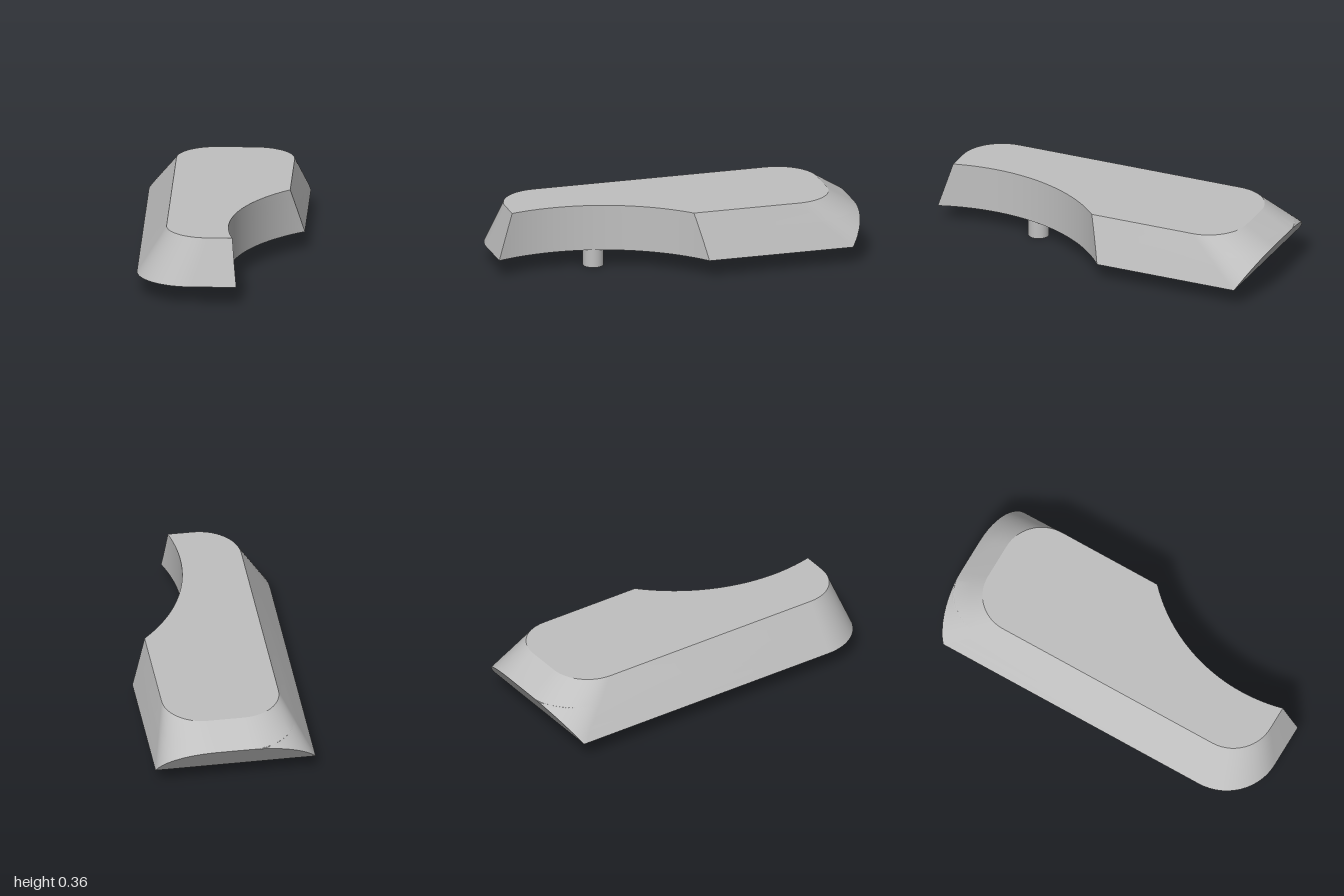
import * as THREE from 'three';
import { toCreasedNormals } from 'three/addons/utils/BufferGeometryUtils.js';

const TOP = 0.357, BOTTOM = 0.103;
const NOTCH = { x: 1.02, z: 0.68, r: 0.965 }; // circular bite in the left flank
const RIDGE = 0.4; // fraction of the way down where the undercut back begins
const lerp = THREE.MathUtils.lerp;

// Outline at fraction t of the way down (0 top, 1 bottom), starting at the front notch tip
function outline(t) {
  const left = lerp(-0.28, -0.44, t), right = lerp(0.36, 0.437, t);
  const front = lerp(0.92, 1.0, t), back = lerp(-0.84, -1.24, t);
  const rf = lerp(0.23, 0.30, t), rb = lerp(0.22, 0.35, t);
  const zc = back + rb;
  // The undercut plane trims the rear corners below the ridge
  let sweep = Math.PI / 2;
  if (t > RIDGE) {
    const cut = lerp(-1.0, -0.90, (t - RIDGE) / (1 - RIDGE));
    sweep = Math.asin(THREE.MathUtils.clamp((zc - cut) / rb, 0.001, 1));
  }
  const pts = [];
  const add = (x, z) => pts.push(new THREE.Vector2(x, z));
  const n = 14, m = 32;

  const endZ = front - NOTCH.z;
  add(NOTCH.x - Math.sqrt(NOTCH.r ** 2 - endZ ** 2), front);
  for (let i = 0; i <= n; i++) { // front corner
    const a = (i / n) * Math.PI / 2;
    add(left + rf - rf * Math.sin(a), front - rf + rf * Math.cos(a));
  }
  for (let i = 0; i <= n; i++) { // rear corner, right side
    const a = (i / n) * sweep;
    add(left + rb - rb * Math.cos(a), zc - rb * Math.sin(a));
  }
  for (let i = n; i >= 0; i--) { // rear corner, left side
    const a = (i / n) * sweep;
    add(right - rb + rb * Math.cos(a), zc - rb * Math.sin(a));
  }
  const a0 = -Math.acos((NOTCH.x - right) / NOTCH.r);
  const a1 = Math.asin(endZ / NOTCH.r);
  for (let i = 0; i < m; i++) { // concave notch
    const a = lerp(a0, a1, i / m);
    add(NOTCH.x - NOTCH.r * Math.cos(a), NOTCH.z + NOTCH.r * Math.sin(a));
  }
  return pts;
}

function bodyGeometry() {
  const levels = [0, RIDGE / 2, RIDGE];
  for (let i = 1; i <= 10; i++) levels.push(RIDGE + (1 - RIDGE) * (i / 10) ** 2);
  const rings = levels.map(outline);
  const count = rings[0].length;
  const pos = [], index = [];
  rings.forEach((ring, k) => ring.forEach(p => pos.push(p.x, lerp(TOP, BOTTOM, levels[k]), p.y)));

  // Sloping walls
  for (let k = 0; k < rings.length - 1; k++) {
    for (let i = 0; i < count; i++) {
      const j = (i + 1) % count;
      const a = k * count + i, b = k * count + j;
      index.push(a, b, a + count, b, b + count, a + count);
    }
  }
  // Flat top and underside
  const cap = (k, up) => {
    const ring = rings[k], o = k * count;
    for (const [a, b, c] of THREE.ShapeUtils.triangulateShape(ring, [])) {
      const ab = ring[b].clone().sub(ring[a]), ac = ring[c].clone().sub(ring[a]);
      const facesUp = ab.cross(ac) < 0;
      if (facesUp === up) index.push(o + a, o + b, o + c);
      else index.push(o + a, o + c, o + b);
    }
  };
  cap(0, true);
  cap(rings.length - 1, false);

  const geo = new THREE.BufferGeometry();
  geo.setAttribute('position', new THREE.Float32BufferAttribute(pos, 3));
  geo.setIndex(index);
  return toCreasedNormals(geo, 0.35);
}

export function createModel() {
  const group = new THREE.Group();
  group.name = 'notchedBlock';
  const grey = new THREE.MeshStandardMaterial({ color: 0xc0c0c0 });
  grey.name = 'lightGrey';

  const body = new THREE.Mesh(bodyGeometry(), grey);
  body.name = 'body';
  group.add(body);

  // Locating pegs underneath
  for (const [name, z] of [['frontPeg', 0.443], ['backPeg', -0.437]]) {
    const peg = new THREE.Mesh(new THREE.CylinderGeometry(0.057, 0.057, BOTTOM, 32), grey);
    peg.name = name;
    peg.position.set(0.019, BOTTOM / 2, z);
    group.add(peg);
  }
  return group;
}
